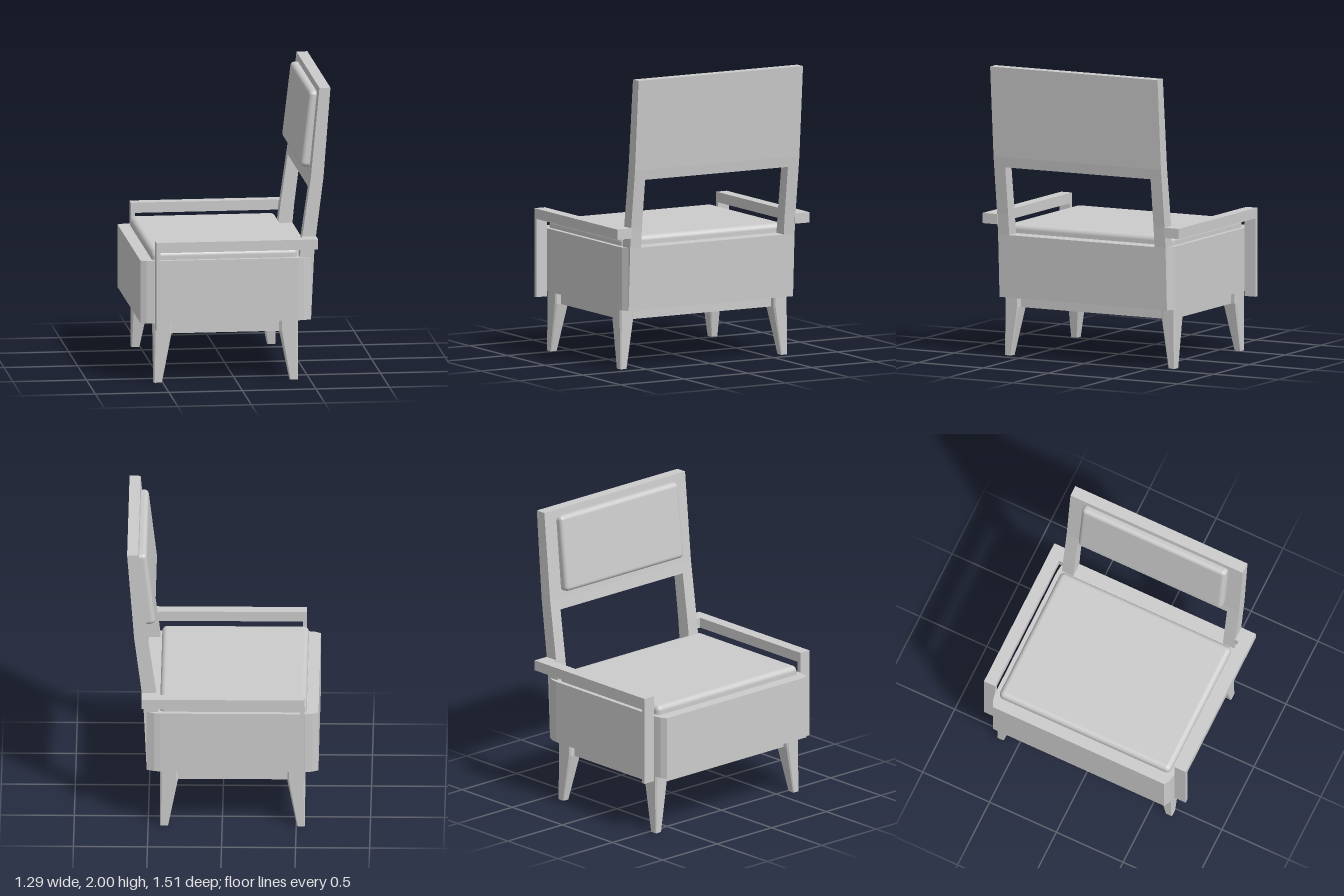
import * as THREE from 'three';
import { RoundedBoxGeometry } from 'three/addons/geometries/RoundedBoxGeometry.js';

const material = new THREE.MeshStandardMaterial({ color: 0xcccccc });
const flat = new THREE.MeshStandardMaterial({ color: 0xcccccc, flatShading: true });

// Side line of the backrest: [y, front x, back x]
const BACK_LINE = [
  [0.41, 0.43, 0.51], [0.84, 0.433, 0.53], [0.98, 0.45, 0.543],
  [1.38, 0.508, 0.594], [2, 0.567, 0.642],
];

function lineAt(y) {
  const i = Math.max(1, BACK_LINE.findIndex((p) => p[0] >= y));
  const a = BACK_LINE[i - 1], b = BACK_LINE[i];
  const t = (y - a[0]) / (b[0] - a[0]);
  return a.map((v, k) => v + (b[k] - v) * t);
}

function shapeOf(points) {
  return new THREE.Shape(points.map(([x, y]) => new THREE.Vector2(x, y)));
}

function extrude(shape, depth, steps = 1) {
  return new THREE.ExtrudeGeometry(shape, { depth, steps, bevelEnabled: false });
}

// Slice of the backrest between two heights, spanning z0 to z1
function backSlab(y0, y1, z0, z1) {
  const rows = [lineAt(y0), ...BACK_LINE.filter((p) => p[0] > y0 && p[0] < y1), lineAt(y1)];
  const front = rows.map(([y, f]) => [f, y]).reverse();
  const back = rows.map(([y, , b]) => [b, y]);
  return extrude(shapeOf([...back, ...front]), z1 - z0).translate(0, 0, z0);
}

// Plan shape raised from y0 to y1
function raise(shape, y0, y1, steps = 1) {
  return extrude(shape, y1 - y0, steps).rotateX(-Math.PI / 2).translate(0, y0, 0);
}

// Leg with chamfered corners, tapering on its inner sides
function legGeometry(sx, sz) {
  const h = 0.5, c = 0.4;
  const octagon = shapeOf([[h, -c], [h, c], [c, h], [-c, h], [-h, c], [-h, -c], [-c, -h], [c, -h]]);
  const geo = raise(octagon, 0, 0.415, 5);
  const p = geo.attributes.position;
  for (let i = 0; i < p.count; i++) {
    const t = Math.min(1, p.getY(i) / 0.332);
    const wx = 0.055 + 0.065 * t, wz = 0.05 + 0.055 * t;
    p.setX(i, -0.07 + sx * (0.49 - wx / 2) + p.getX(i) * wx);
    p.setZ(i, sz * (0.655 - wz / 2) + p.getZ(i) * wz);
  }
  geo.computeVertexNormals();
  return geo;
}

export function createModel() {
  const group = new THREE.Group();
  const add = (name, geo, mat = flat) => {
    const mesh = new THREE.Mesh(geo, mat);
    mesh.name = name;
    group.add(mesh);
    return mesh;
  };
  const box = (name, x0, x1, y0, y1, z0, z1) =>
    add(name, new THREE.BoxGeometry(x1 - x0, y1 - y0, z1 - z0)
      .translate((x0 + x1) / 2, (y0 + y1) / 2, (z0 + z1) / 2));

  // Seat body with softened corners
  const side = [[-0.65, 0.64], [-0.61, 0.662], [-0.56, 0.672], [0.42, 0.672], [0.46, 0.667], [0.51, 0.645]];
  const mirrored = side.map(([x, z]) => [x, -z]);
  add('seatBody', raise(shapeOf([...mirrored, ...side.slice().reverse()]), 0.41, 0.84));

  // Apron ring under the body
  const rect = (x0, x1, z) => [[x0, -z], [x1, -z], [x1, z], [x0, z]];
  const ring = shapeOf(rect(-0.52, 0.38, 0.615));
  ring.holes.push(new THREE.Path(rect(-0.46, 0.32, 0.555).reverse().map(([x, y]) => new THREE.Vector2(x, y))));
  add('apron', raise(ring, 0.33, 0.415));

  // Seat cushion
  add('seatCushion', new RoundedBoxGeometry(0.99, 0.3, 1.28, 4, 0.035).translate(-0.075, 0.75, 0), material);

  // Backrest: lower panel, upper panel and posts around the opening
  add('backLowerPanel', backSlab(0.41, 0.84, -0.645, 0.645));
  add('backUpperPanel', backSlab(1.31, 2, -0.645, 0.645));
  add('backPostLeft', backSlab(0.84, 1.31, 0.56, 0.645));
  add('backPostRight', backSlab(0.84, 1.31, -0.645, -0.56));

  // Back cushion
  const pad = add('backCushion', new RoundedBoxGeometry(0.09, 0.525, 1.08, 3, 0.03), material);
  pad.position.set(0.527, 1.695, 0);
  pad.rotation.z = -0.118;

  for (const s of [-1, 1]) {
    const label = s > 0 ? 'Left' : 'Right';
    const span = (a, b) => (s > 0 ? [a, b] : [-b, -a]);
    // Armrest, its joint to the back post, and its front support
    box('armrest' + label, -0.555, 0.545, 0.91, 0.98, ...span(0.672, 0.755));
    box('armJoint' + label, 0.445, 0.545, 0.91, 0.98, ...span(0.64, 0.672));
    box('armSupport' + label, -0.555, -0.528, 0.375, 0.91, ...span(0.672, 0.755));
    // Legs
    add('frontLeg' + label, legGeometry(-1, s));
    add('rearLeg' + label, legGeometry(1, s));
  }
  return group;
}
